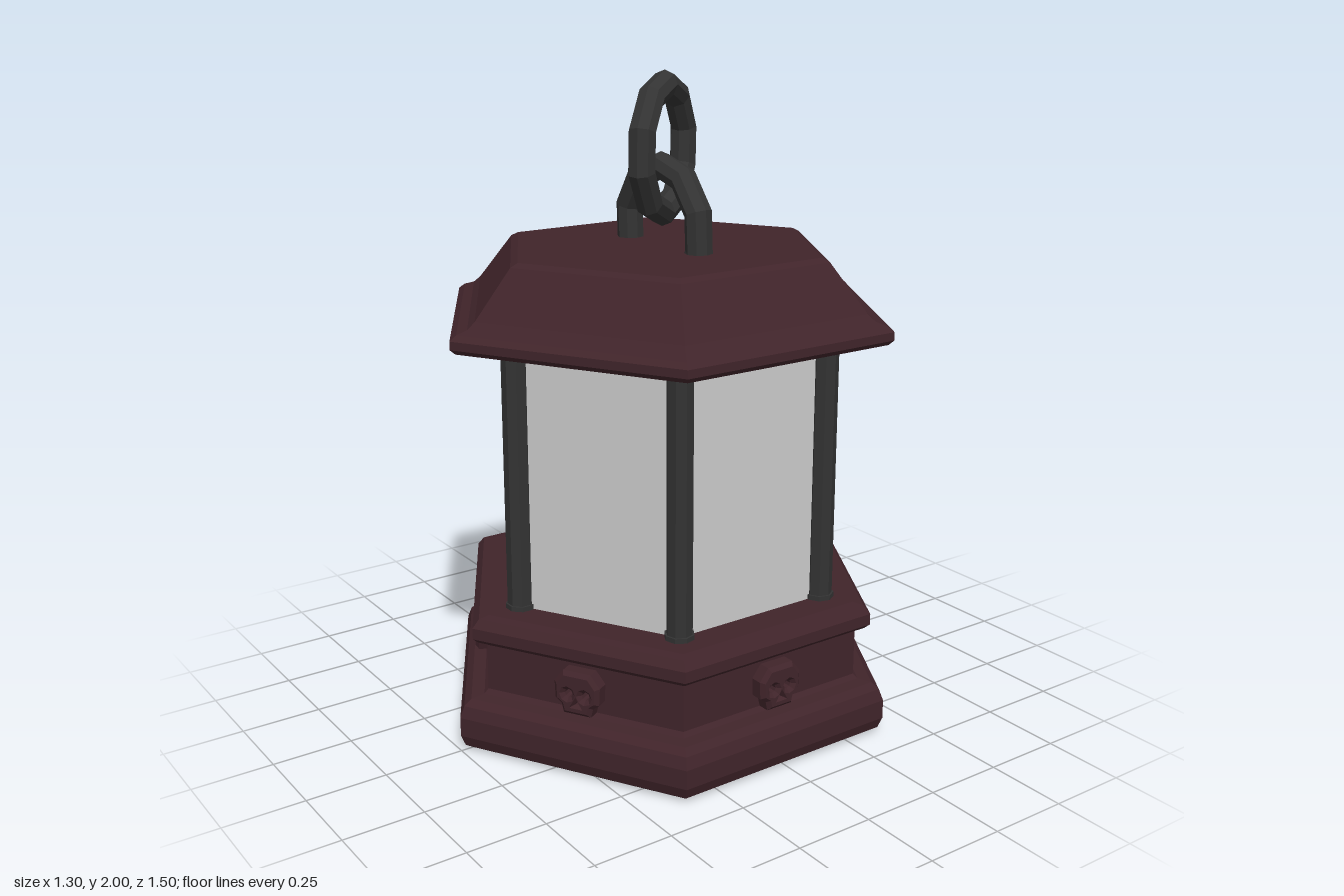
import * as THREE from 'three';

const SIDES = 6;
const APOTHEM = Math.cos(Math.PI / SIDES);

const paint = (color, extra = {}) =>
  new THREE.MeshStandardMaterial({ color, flatShading: true, ...extra });

// Hexagonal solid from [corner radius, height] pairs, corners on +z and -z
function hexSolid(name, profile, material) {
  const points = profile.map(([r, y]) => new THREE.Vector2(r, y));
  const mesh = new THREE.Mesh(new THREE.LatheGeometry(points, SIDES), material);
  mesh.name = name;
  return mesh;
}

// Skull badge: bevelled outline with eye and nose holes, facing +z
function skullGeometry() {
  const half = [[0.045, -0.068], [0.052, -0.04], [0.072, -0.025], [0.075, 0.03], [0.045, 0.068]];
  const mirrored = half.map(([x, y]) => [-x, y]).reverse();
  const shape = new THREE.Shape([...half, ...mirrored].map(([x, y]) => new THREE.Vector2(x, y)));
  for (const x of [-0.028, 0.028]) {
    shape.holes.push(new THREE.Path().absarc(x, -0.003, 0.013, 0, Math.PI * 2, true));
  }
  shape.holes.push(new THREE.Path([
    new THREE.Vector2(-0.007, -0.036), new THREE.Vector2(0, -0.024), new THREE.Vector2(0.007, -0.036),
  ]));
  return new THREE.ExtrudeGeometry(shape, {
    depth: 0.036, bevelEnabled: true, bevelThickness: 0.012, bevelSize: 0.012,
    bevelOffset: -0.012, bevelSegments: 1, curveSegments: 4,
  });
}

// Faceted chain ring standing upright
function ring(name, y, turn, material) {
  const geometry = new THREE.TorusGeometry(0.19, 0.042, 8, 10);
  geometry.rotateZ(THREE.MathUtils.degToRad(21));
  const mesh = new THREE.Mesh(geometry, material);
  mesh.name = name;
  mesh.position.y = y;
  mesh.rotation.y = turn;
  return mesh;
}

export function createModel() {
  const lantern = new THREE.Group();
  lantern.name = 'lantern';
  const red = paint(0x40242a);
  const iron = paint(0x333333);
  const glass = paint(0xcccccc, { side: THREE.DoubleSide });

  // Stepped base: foot, neck and ledge
  lantern.add(hexSolid('base', [
    [0, 0], [0.71, 0], [0.735, 0.015], [0.75, 0.05], [0.75, 0.11], [0.735, 0.145], [0.71, 0.163],
    [0.665, 0.167], [0.65, 0.18], [0.65, 0.325], [0.665, 0.335], [0.68, 0.34], [0.698, 0.355],
    [0.698, 0.39], [0.675, 0.415], [0.64, 0.42], [0, 0.42],
  ], red));

  // Window panes
  lantern.add(hexSolid('panes', [[0.53, 0.41], [0.53, 1.245]], glass));

  // Roof with a rolled rim and a flat top
  lantern.add(hexSolid('roof', [
    [0, 1.235], [0.69, 1.235], [0.72, 1.24], [0.737, 1.255], [0.737, 1.28], [0.715, 1.295],
    [0.68, 1.305], [0.655, 1.325], [0.535, 1.468], [0.51, 1.48], [0, 1.48],
  ], red));

  // Corner posts with small collars, and a skull badge on each neck face
  const postGeometry = new THREE.CylinderGeometry(0.04, 0.04, 0.84, 8).rotateY(Math.PI / 8);
  const collarGeometry = new THREE.CylinderGeometry(0.046, 0.046, 0.02, 8).rotateY(Math.PI / 8);
  const badgeGeometry = skullGeometry();
  for (let i = 0; i < SIDES; i++) {
    const corner = new THREE.Group();
    corner.name = `post${i + 1}`;
    corner.rotation.y = (i * Math.PI * 2) / SIDES;
    for (const [geometry, y] of [[postGeometry, 0.83], [collarGeometry, 0.425], [collarGeometry, 1.23]]) {
      const part = new THREE.Mesh(geometry, iron);
      part.name = geometry === postGeometry ? 'postShaft' : 'postCollar';
      part.position.set(0, y, 0.53);
      corner.add(part);
    }
    lantern.add(corner);

    const face = new THREE.Group();
    face.name = `badgeMount${i + 1}`;
    face.rotation.y = ((i + 0.5) * Math.PI * 2) / SIDES;
    const badge = new THREE.Mesh(badgeGeometry, red);
    badge.name = 'skullBadge';
    badge.position.set(0, 0.248, 0.65 * APOTHEM);
    face.add(badge);
    lantern.add(face);
  }

  // Hanging rings: one sunk into the roof, one looped through it
  lantern.add(ring('roofRing', 1.53, 0, iron));
  lantern.add(ring('hangingRing', 1.77, THREE.MathUtils.degToRad(-55), iron));

  return lantern;
}
